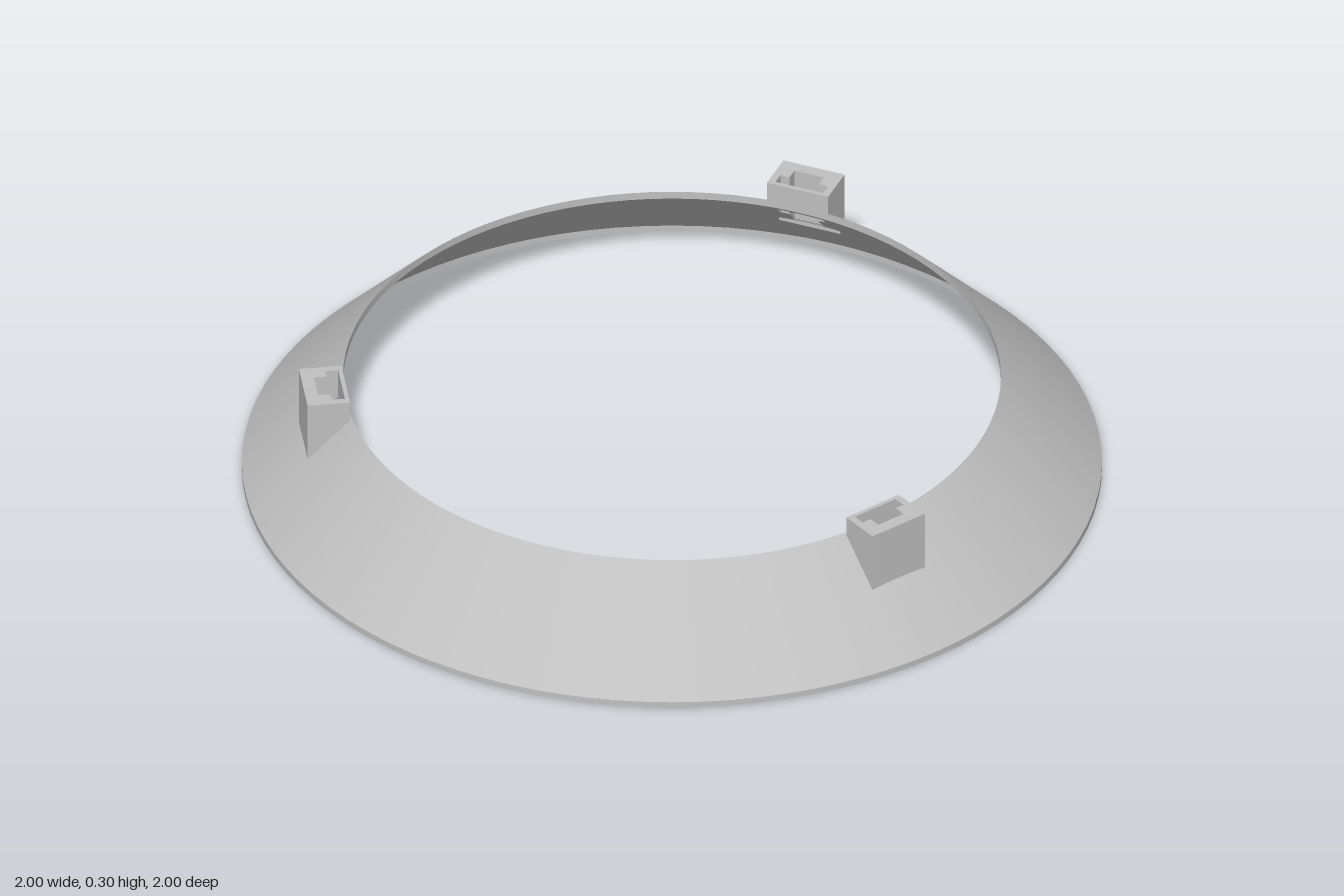
import * as THREE from 'three';
import { toCreasedNormals } from 'three/addons/utils/BufferGeometryUtils.js';

const R_TOP = 0.765, R_BASE = 1, R_LIP = 0.98;
const SLOT = [0.775, 0.805, 0.835]; // radial limits of the stepped slot
const WIDE = 0.06, NARROW = 0.037; // slot half widths
const TURN = (Math.PI * 2) / 3;

const outerY = r => THREE.MathUtils.mapLinear(r, R_TOP, R_BASE, 0.255, 0.015);
const innerY = r => THREE.MathUtils.mapLinear(r, R_TOP, R_LIP, 0.236, 0.015);

// Sloped thin-walled ring, with cells left out where the slots pass through
function ringGeometry() {
  const up = [R_BASE, SLOT[2], SLOT[1], SLOT[0], R_TOP];
  const down = [R_TOP, SLOT[0], SLOT[1], SLOT[2], R_LIP];
  const rows = [
    [R_BASE, 0], ...up.map(r => [r, outerY(r)]),
    ...down.map(r => [r, innerY(r)]), [R_LIP, 0], [R_BASE, 0],
  ];
  const wideAngle = Math.atan(WIDE / 0.79), narrowAngle = Math.atan(NARROW / 0.82);
  const angles = [];
  for (let i = 0; i < 96; i++) angles.push((i / 96) * Math.PI * 2);
  for (let k = 0; k < 3; k++) {
    for (const a of [wideAngle, narrowAngle]) {
      angles.push(k * TURN + a, ((k + 3) * TURN - a) % (Math.PI * 2));
    }
  }
  angles.sort((a, b) => a - b);
  angles.push(Math.PI * 2);

  const isSlot = (angle, r) => {
    const offset = Math.abs(angle - Math.round(angle / TURN) * TURN);
    if (r > SLOT[0] && r < SLOT[1]) return offset < wideAngle;
    return r > SLOT[1] && r < SLOT[2] && offset < narrowAngle;
  };
  const point = (a, [r, y]) => [r * Math.cos(a), y, r * Math.sin(a)];
  const positions = [];
  for (let i = 0; i < angles.length - 1; i++) {
    for (let j = 0; j < rows.length - 1; j++) {
      const [a0, a1] = [angles[i], angles[i + 1]];
      if (isSlot((a0 + a1) / 2, (rows[j][0] + rows[j + 1][0]) / 2)) continue;
      const a = point(a0, rows[j]), b = point(a1, rows[j]);
      const c = point(a1, rows[j + 1]), d = point(a0, rows[j + 1]);
      positions.push(...a, ...d, ...c, ...a, ...c, ...b);
    }
  }
  const geometry = new THREE.BufferGeometry();
  geometry.setAttribute('position', new THREE.Float32BufferAttribute(positions, 3));
  return toCreasedNormals(geometry, 0.4);
}

// Upright block with a stepped slot; its underside follows the slope of the ring
function blockGeometry() {
  const toPoints = list => list.map(([x, y]) => new THREE.Vector2(x, y));
  const shape = new THREE.Shape(toPoints([
    [R_TOP, -0.077], [0.865, -0.077], [0.865, 0.077], [R_TOP, 0.077],
  ]));
  shape.holes.push(new THREE.Path(toPoints([
    [SLOT[0], -WIDE], [SLOT[0], WIDE], [SLOT[1], WIDE], [SLOT[1], NARROW],
    [SLOT[2], NARROW], [SLOT[2], -NARROW], [SLOT[1], -NARROW], [SLOT[1], -WIDE],
  ])));
  const geometry = new THREE.ExtrudeGeometry(shape, { depth: 0.3, bevelEnabled: false });
  geometry.rotateX(-Math.PI / 2);
  const p = geometry.attributes.position;
  for (let i = 0; i < p.count; i++) {
    if (p.getY(i) < 0.1) p.setY(i, innerY(p.getX(i)) + 0.002);
  }
  geometry.computeVertexNormals();
  return geometry;
}

export function createModel() {
  const model = new THREE.Group();
  const grey = new THREE.MeshStandardMaterial({ color: 0xc0c0c0 });
  grey.name = 'light grey';
  const add = (parent, name, geometry) => {
    const mesh = new THREE.Mesh(geometry, grey);
    mesh.name = name;
    parent.add(mesh);
    return mesh;
  };

  add(model, 'slopedRing', ringGeometry());

  // Three slotted mounts, evenly spaced, each with a narrow ledge inside the ring
  const block = blockGeometry();
  const ledge = new THREE.BoxGeometry(0.016, 0.012, 0.154);
  for (let k = 0; k < 3; k++) {
    const mount = new THREE.Group();
    mount.name = 'slottedMount';
    add(mount, 'mountBlock', block);
    add(mount, 'mountLedge', ledge).position.set(0.846, 0.156, 0);
    mount.rotation.y = k * TURN;
    model.add(mount);
  }
  return model;
}
